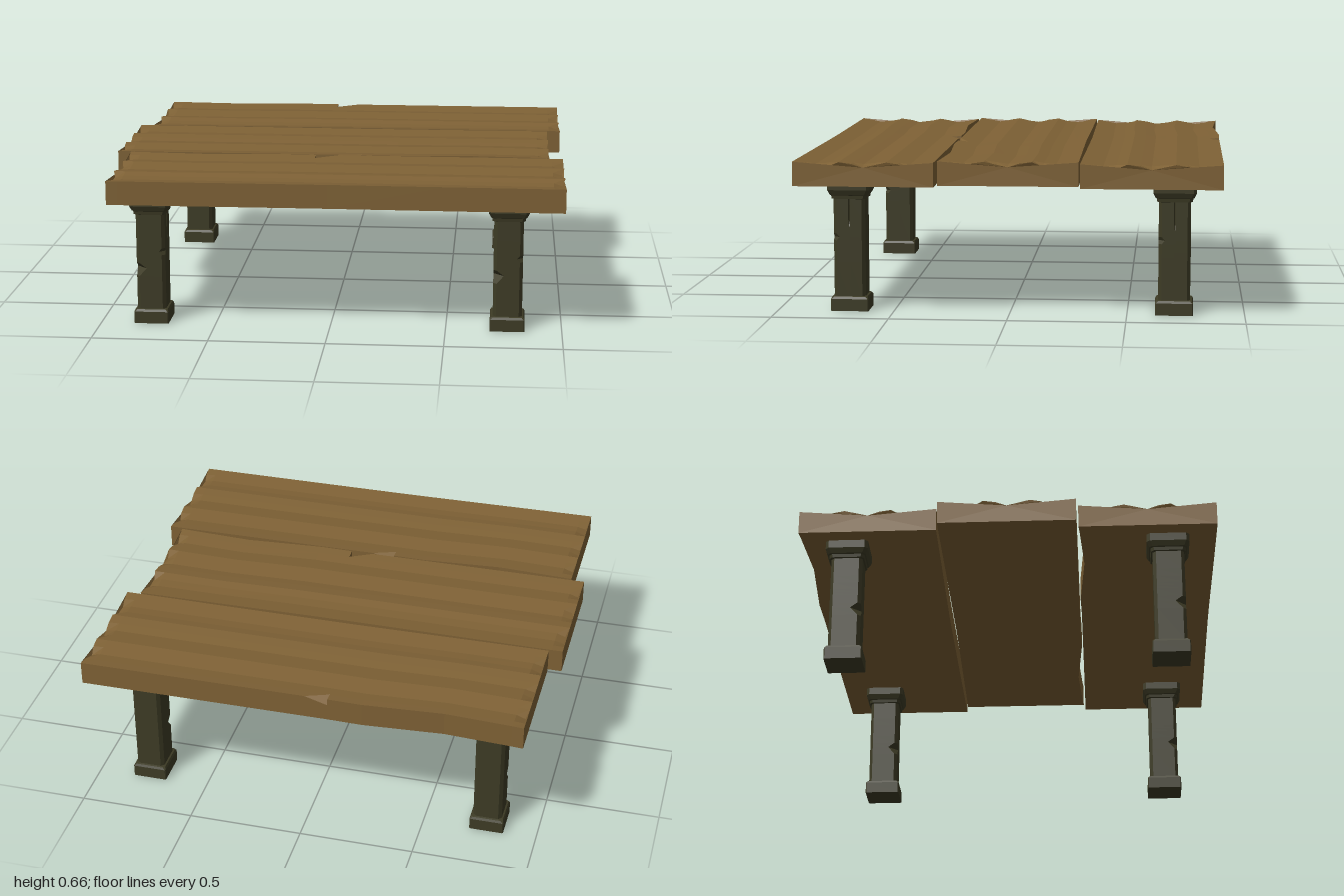
import * as THREE from 'three';

const wood = new THREE.MeshStandardMaterial({ color: 0x7e6135, flatShading: true });
const darkWood = new THREE.MeshStandardMaterial({ color: 0x3d3b25, flatShading: true });

// Closed faceted solid through rings of [x, y, z] points, wound right-handed about the ring axis.
function loft(rings) {
  const pos = [];
  const tri = (...pts) => pts.forEach((p) => pos.push(...p));
  const n = rings[0].length;
  for (let k = 0; k < rings.length - 1; k++) {
    for (let i = 0; i < n; i++) {
      const j = (i + 1) % n;
      const [a, b, c, d] = [rings[k][i], rings[k][j], rings[k + 1][j], rings[k + 1][i]];
      tri(a, b, d);
      tri(b, c, d);
    }
  }
  const cap = (ring, flip) => {
    const mid = [0, 1, 2].map((a) => ring.reduce((s, p) => s + p[a], 0) / n);
    for (let i = 0; i < n; i++) {
      const p = ring[i], q = ring[(i + 1) % n];
      flip ? tri(mid, q, p) : tri(mid, p, q);
    }
  };
  cap(rings[0], true);
  cap(rings[rings.length - 1], false);
  const geo = new THREE.BufferGeometry();
  geo.setAttribute('position', new THREE.Float32BufferAttribute(pos, 3));
  geo.computeVertexNormals();
  return geo;
}

// Plank: worn lengthwise grooves, chipped ends, a bowed back edge and one splinter notch.
function plankGeometry() {
  const half = 0.297, bottom = 0.56, top = 0.663;
  // across the top: [position 0..1 from back to front, groove depth, extra wear at the ends]
  const across = [
    [0, 0, 0], [0.075, 0.005, 0.002], [0.17, 0.012, 0.012], [0.25, 0.006, 0.002],
    [0.33, 0, 0], [0.42, 0.007, 0.012], [0.5, 0.013, 0.008], [0.58, 0.006, 0.001],
    [0.67, 0, 0], [0.75, 0.008, 0.013], [0.84, 0.012, 0.01], [0.92, 0.006, 0.002], [1, 0, 0],
  ];
  // along the length: [x, back inset, front inset, notch depth, end wear direction]
  const along = [
    [-0.94, 0, 0, 0, -1], [-0.89, 0.004, 0, 0, 0], [-0.6, 0.02, 0.002, 0, 0],
    [-0.25, -0.003, 0.005, 0, 0], [-0.101, 0, 0.006, 0, 0], [-0.1, 0, 0.006, 0.03, 0],
    [0, 0, 0.006, 0, 0], [0.5, 0, 0.003, 0, 0], [0.95, 0, 0, 0, 0], [1, 0, 0, 0, 1],
  ];
  return loft(along.map(([x, back, front, notch, end]) => {
    const z0 = -half + back, z1 = half - front;
    const ring = across.map(([t, groove, wear], i) => [
      x - end * wear,
      top - groove - Math.abs(end) * wear - (i === 0 ? notch : 0),
      z0 + (z1 - z0) * t,
    ]);
    ring.push([x, bottom, z1], [x, bottom, z0]);
    return ring;
  }));
}

// Leg: square foot, chamfered shaft with nicked corners and a crack, stepped capital.
function legGeometry() {
  const ring = (y, hx, hz, c, nickA = c, nickB = c, crack = 0) => [
    [-hx + nickA, y, hz], [hx - nickB, y, hz], [hx, y, hz - nickB],
    [hx, y, 0.004], [hx - crack, y, 0], [hx, y, -0.004],
    [hx, y, -hz + c], [hx - c, y, -hz], [-hx + c, y, -hz],
    [-hx, y, -hz + c], [-hx, y, hz - nickA],
  ];
  const shaft = (y, a, b, crack) => ring(y, 0.063, 0.068, 0.014, a, b, crack);
  return loft([
    ring(0, 0.075, 0.081, 0.004),
    ring(0.052, 0.075, 0.081, 0.004),
    ring(0.062, 0.07, 0.076, 0.008),
    shaft(0.064),
    shaft(0.21), shaft(0.245, 0.045), shaft(0.268),
    shaft(0.305), shaft(0.32, 0.014, 0.026), shaft(0.335),
    shaft(0.365), shaft(0.4, 0.014, 0.014, 0.015), shaft(0.484, 0.014, 0.014, 0.02),
    ring(0.486, 0.07, 0.075, 0.014),
    ring(0.5, 0.072, 0.077, 0.014),
    ring(0.503, 0.077, 0.082, 0.014),
    ring(0.525, 0.087, 0.092, 0.014),
    ring(0.561, 0.087, 0.092, 0.014),
  ]);
}

export function createModel() {
  const model = new THREE.Group();
  model.name = 'table';

  // Three planks, the middle one turned end for end
  const plank = plankGeometry();
  [['backPlank', -0.603, 0], ['middlePlank', 0, Math.PI], ['frontPlank', 0.603, 0]].forEach(([name, z, turn]) => {
    const mesh = new THREE.Mesh(plank, wood);
    mesh.name = name;
    mesh.position.z = z;
    mesh.rotation.y = turn;
    model.add(mesh);
  });

  // Four identical legs
  const leg = legGeometry();
  for (const [side, x] of [['Right', -0.78], ['Left', 0.765]]) {
    for (const [end, z] of [['front', 0.69], ['back', -0.7]]) {
      const mesh = new THREE.Mesh(leg, darkWood);
      mesh.name = `${end}${side}Leg`;
      mesh.position.set(x, 0, z);
      model.add(mesh);
    }
  }
  return model;
}
